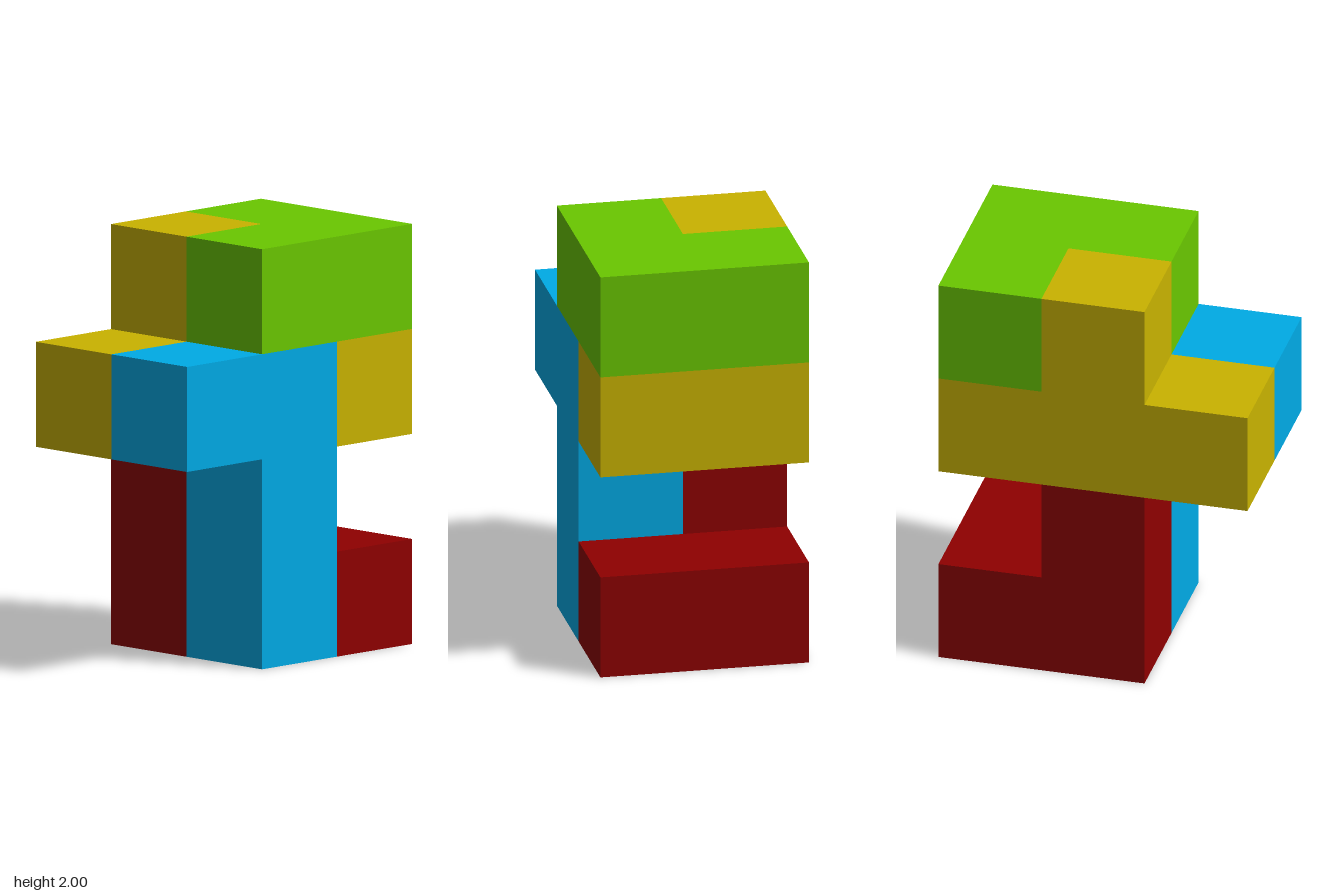
import * as THREE from 'three';
import { mergeGeometries } from 'three/addons/utils/BufferGeometryUtils.js';

const CELL = 0.5;
const FORWARD = new THREE.Vector3(0, 0, 1);
const DIRECTIONS = [
  [1, 0, 0], [-1, 0, 0], [0, 1, 0], [0, -1, 0], [0, 0, 1], [0, 0, -1],
].map((d) => new THREE.Vector3(...d));

// Interlocking pieces; cells are [column, layer, row], row 0 at the back
const PIECES = [
  { name: 'bluePiece', color: 0x00abe6, cells: [[1, 0, 1], [1, 1, 1], [1, 2, 1], [0, 2, 1]] },
  { name: 'redPiece', color: 0x8f0000, cells: [[2, 0, 1], [2, 0, 0], [1, 0, 0], [1, 1, 0]] },
  { name: 'yellowPiece', color: 0xc9b300, cells: [[2, 2, 1], [2, 2, 0], [1, 2, 0], [0, 2, 0], [1, 3, 0]] },
  { name: 'greenPiece', color: 0x6ac700, cells: [[1, 3, 1], [2, 3, 1], [2, 3, 0]] },
];

// One closed skin around joined cubes, without walls between cubes of the piece
function polycube(cells) {
  const filled = new Set(cells.map((c) => c.join()));
  const faces = [];
  for (const [i, j, k] of cells) {
    const center = new THREE.Vector3(i - 1, j + 0.5, k - 0.5).multiplyScalar(CELL);
    for (const d of DIRECTIONS) {
      if (filled.has([i + d.x, j + d.y, k + d.z].join())) continue;
      const face = new THREE.PlaneGeometry(CELL, CELL);
      face.applyQuaternion(new THREE.Quaternion().setFromUnitVectors(FORWARD, d));
      const p = center.clone().addScaledVector(d, CELL / 2);
      face.translate(p.x, p.y, p.z);
      faces.push(face);
    }
  }
  return mergeGeometries(faces);
}

export function createModel() {
  const model = new THREE.Group();
  model.name = 'blockPuzzle';
  for (const { name, color, cells } of PIECES) {
    const material = new THREE.MeshStandardMaterial({ color });
    material.name = name.replace('Piece', '');
    const mesh = new THREE.Mesh(polycube(cells), material);
    mesh.name = name;
    model.add(mesh);
  }
  return model;
}
